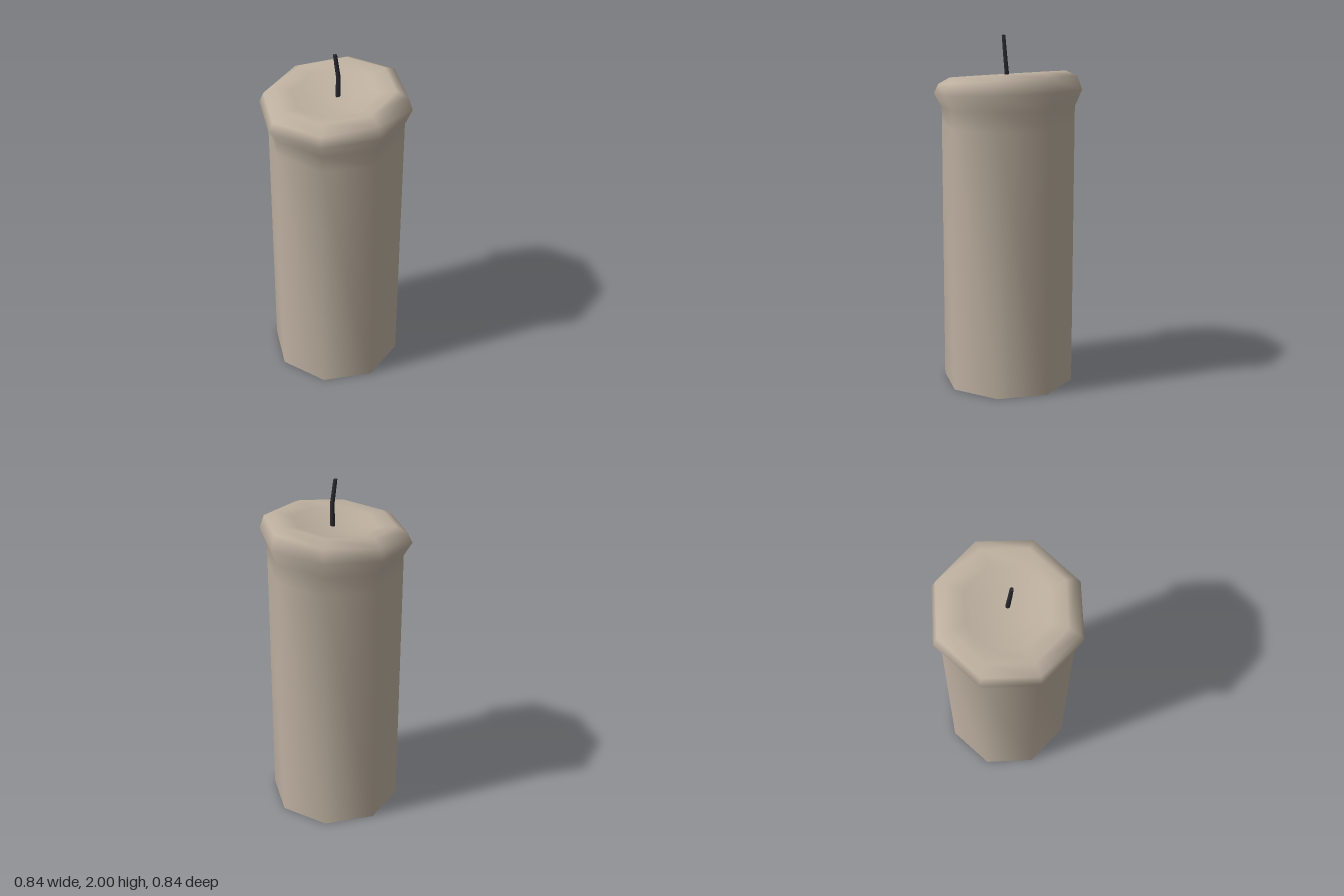
import * as THREE from 'three';
import { mergeVertices } from 'three/addons/utils/BufferGeometryUtils.js';

const SIDES = 8;

export function createModel() {
  const wax = new THREE.MeshStandardMaterial({ color: 0xbdb0a0 });
  wax.name = 'wax';
  const char = new THREE.MeshStandardMaterial({ color: 0x2a2a30 });
  char.name = 'charredWick';

  const candle = new THREE.Group();
  candle.name = 'candle';
  const add = (name, geometry, material) => {
    const mesh = new THREE.Mesh(geometry, material);
    mesh.name = name;
    candle.add(mesh);
    return mesh;
  };

  // Wax body: straight shaft, bulging rim and shallow melted basin
  const profile = [
    [0.377, 0], [0.379, 1.5], [0.379, 1.6], [0.421, 1.685], [0.395, 1.75],
    [0.33, 1.783], [0.24, 1.765], [0.13, 1.745], [0, 1.74],
  ].map(([r, y]) => new THREE.Vector2(r, y));
  let body = new THREE.LatheGeometry(profile, SIDES);
  body.deleteAttribute('uv');
  body.deleteAttribute('normal');
  // The rim slants, rising towards +x
  const p = body.attributes.position;
  for (let i = 0; i < p.count; i++) {
    const x = p.getX(i), y = p.getY(i);
    const tilt = 0.03 * THREE.MathUtils.smoothstep(y, 1.48, 1.6)
      + 0.07 * THREE.MathUtils.smoothstep(y, 1.64, 1.745);
    p.setY(i, y + tilt * x);
    if (y < 1.65) p.setX(i, x + 0.004);
  }
  body = mergeVertices(body, 1e-4);
  body.computeVertexNormals();
  add('waxBody', body, wax);

  // Flat underside
  const base = new THREE.CircleGeometry(0.377, SIDES);
  base.rotateX(Math.PI / 2);
  base.translate(0.004, 0, 0);
  add('base', base, wax);

  // Wick: slim six-sided rod with a bend halfway up
  const wick = new THREE.CylinderGeometry(0.011, 0.014, 0.28, 6, 2);
  wick.translate(0, 1.86, 0);
  const w = wick.attributes.position;
  for (let i = 0; i < w.count; i++) {
    const t = (w.getY(i) - 1.72) / 0.28;
    const low = Math.min(t, 0.5) * 2, high = Math.max(t - 0.5, 0) * 2;
    w.setX(i, w.getX(i) + 0.014 - 0.005 * low - 0.021 * high);
    w.setZ(i, w.getZ(i) + 0.005 + 0.013 * low - 0.001 * high);
  }
  wick.computeVertexNormals();
  add('wick', wick, char);

  return candle;
}
